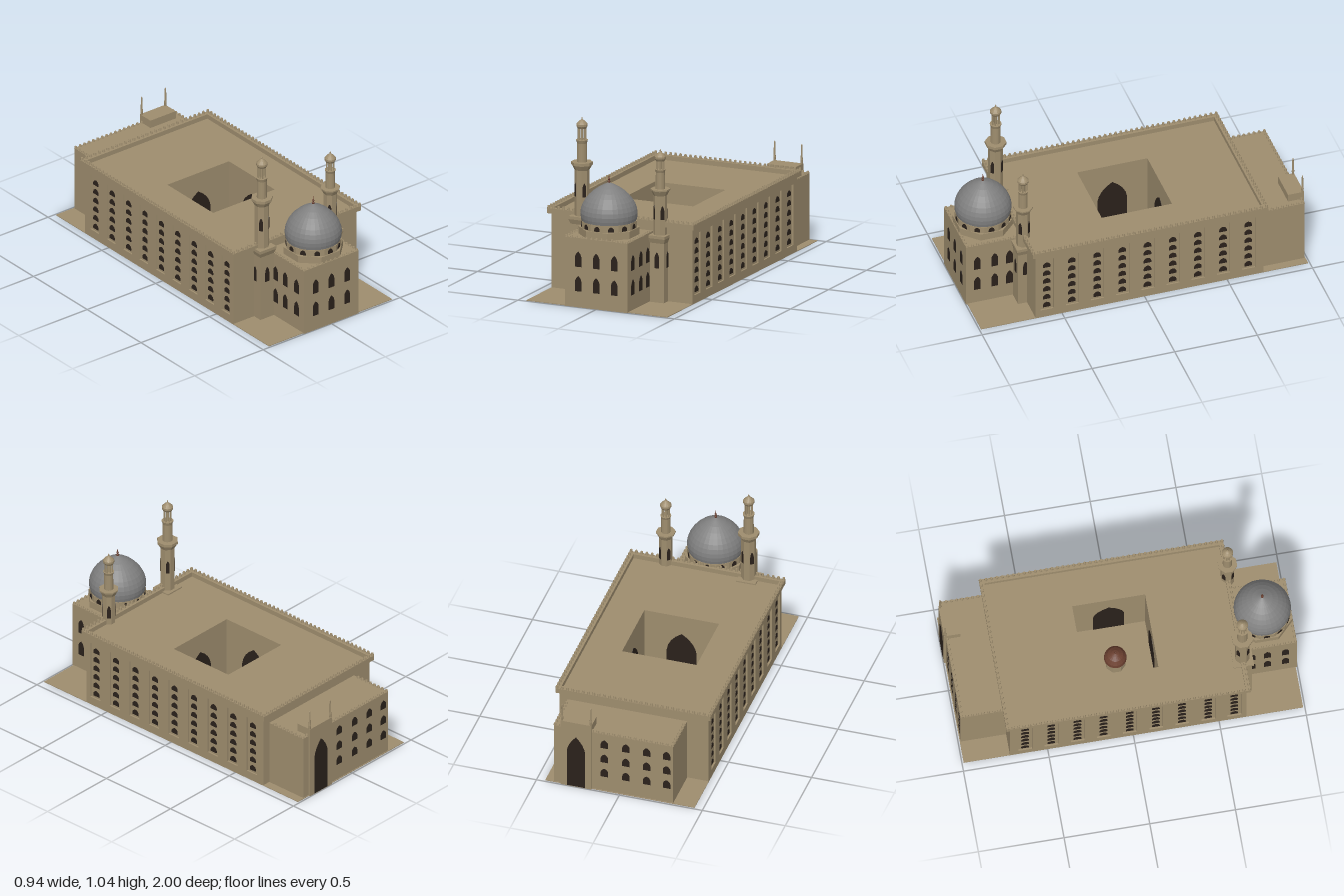
import * as THREE from 'three';
import { mergeGeometries } from 'three/addons/utils/BufferGeometryUtils.js';

const mat = (color, flatShading = true) => new THREE.MeshStandardMaterial({ color, flatShading });
const stone = mat(0x9e8d6e), lead = mat(0x808080), dark = mat(0x2a211b), copper = mat(0x6b4030);

export function createModel() {
  const root = new THREE.Group();

  const add = (name, geo, material = stone, parent = root) => {
    const m = new THREE.Mesh(geo, material);
    m.name = name;
    parent.add(m);
    return m;
  };
  // box given by its limits
  const box = (x0, x1, y0, y1, z0, z1) =>
    new THREE.BoxGeometry(x1 - x0, y1 - y0, z1 - z0).translate((x0 + x1) / 2, (y0 + y1) / 2, (z0 + z1) / 2);
  // upright prism with a flat face forward, sized by distance from axis to face
  const prism = (n, bottom, top, y0, y1, x = 0, z = 0) => {
    const k = 1 / Math.cos(Math.PI / n);
    return new THREE.CylinderGeometry(top * k, bottom * k, y1 - y0, n)
      .rotateY(Math.PI / n).translate(x, (y0 + y1) / 2, z);
  };
  const lathe = (pts, seg, x, z) =>
    new THREE.LatheGeometry(pts.map(p => new THREE.Vector2(...p)), seg).translate(x, 0, z);
  const rect = (P, x0, y0, x1, y1) => {
    const p = new P();
    p.moveTo(x0, y0); p.lineTo(x1, y0); p.lineTo(x1, y1); p.lineTo(x0, y1); p.closePath();
    return p;
  };
  // pointed arch panel standing on y, facing the direction a (0 = front)
  const arch = (w, h, x, y, z, a = 0, spring = 0.62) => {
    const s = new THREE.Shape(), r = w / 2;
    s.moveTo(-r, 0); s.lineTo(r, 0); s.lineTo(r, h * spring);
    s.quadraticCurveTo(r * 0.9, h * 0.85, 0, h);
    s.quadraticCurveTo(-r * 0.9, h * 0.85, -r, h * spring);
    s.closePath();
    return new THREE.ExtrudeGeometry(s, { depth: 0.004, bevelEnabled: false, curveSegments: 4 })
      .translate(0, 0, -0.002).rotateY(a).translate(x, y, z);
  };
  // row of small crenellations from one plan point to another
  const merlons = (list, x0, z0, x1, z1, y, step = 0.032, h = 0.018) => {
    const n = Math.round(Math.hypot(x1 - x0, z1 - z0) / step);
    for (let i = 0; i <= n; i++) {
      const t = i / n;
      list.push(prism(6, 0.009, 0.006, y, y + h, x0 + (x1 - x0) * t, z0 + (z1 - z0) * t));
    }
  };
  const ringMerlons = (x0, x1, z0, z1, y) => {
    const l = [];
    merlons(l, x0, z0, x1, z0, y); merlons(l, x0, z1, x1, z1, y);
    merlons(l, x0, z0, x0, z1, y); merlons(l, x1, z0, x1, z1, y);
    return mergeGeometries(l);
  };
  // rectangular slab with a rectangular opening, between two heights
  const frame = (o, i, y0, y1) => {
    const s = rect(THREE.Shape, o[0], -o[3], o[1], -o[2]);
    s.holes.push(rect(THREE.Path, i[0], -i[3], i[1], -i[2]));
    return new THREE.ExtrudeGeometry(s, { depth: y1 - y0, bevelEnabled: false })
      .rotateX(-Math.PI / 2).translate(0, y0, 0);
  };

  add('groundSlab', box(-0.45, 0.45, 0, 0.004, -0.99, 0.99));

  // main hall around an open courtyard
  const court = [-0.225, 0.225, -0.24, 0.185];
  add('hall', frame([-0.44, 0.44, -0.72, 0.66], court, 0, 0.45));
  add('hallParapet', frame([-0.467, 0.467, -0.742, 0.682], [-0.44, 0.44, -0.715, 0.655], 0.447, 0.478));
  add('hallMerlons', ringMerlons(-0.46, 0.46, -0.735, 0.675, 0.476));
  const iwans = [
    arch(0.18, 0.325, 0, 0.004, court[2], 0), arch(0.18, 0.325, 0, 0.004, court[3], Math.PI),
    arch(0.18, 0.325, court[0], 0.004, -0.0275, Math.PI / 2),
    arch(0.18, 0.325, court[1], 0.004, -0.0275, -Math.PI / 2)];
  add('courtyardArches', mergeGeometries(iwans), dark);

  // side walls with sunken panels of small windows
  const bays = Array.from({ length: 9 }, (_, i) => 0.59 - i * 0.1525);
  for (const s of [1, -1]) {
    const wall = rect(THREE.Shape, s > 0 ? -0.66 : -0.72, 0, s > 0 ? 0.72 : 0.66, 0.45);
    const wins = [];
    for (const z of bays) {
      const u = -s * z;
      wall.holes.push(rect(THREE.Path, u - 0.04, 0.05, u + 0.04, 0.41));
      for (let r = 0; r < 6; r++) wins.push(arch(0.045, 0.034, s * 0.441, 0.063 + r * 0.057, z, s * Math.PI / 2, 0.4));
    }
    const geo = new THREE.ExtrudeGeometry(wall, { depth: 0.01, bevelEnabled: false });
    add('sideWall', geo.rotateY(s * Math.PI / 2).translate(s * 0.44, 0, 0));
    add('sideWindows', mergeGeometries(wins), dark);
  }

  // domed fountain in the courtyard
  add('fountainBase', prism(8, 0.055, 0.055, 0, 0.1, 0, -0.0275));
  add('fountainDome', lathe([[0.066, 0.1], [0.062, 0.125], [0.045, 0.15], [0.022, 0.166], [0.004, 0.172], [0.003, 0.19], [0, 0.192]], 20, 0, -0.0275), copper);

  // domed front chamber
  const cz = 0.83;
  add('frontChamber', box(-0.2, 0.2, 0, 0.412, 0.64, 0.998));
  add('chamberMerlons', (() => {
    const l = [];
    merlons(l, -0.193, 0.99, 0.193, 0.99, 0.41, 0.032, 0.012);
    for (const x of [-0.193, 0.193]) merlons(l, x, 0.7, x, 0.99, 0.41, 0.032, 0.012);
    return mergeGeometries(l);
  })());
  const chamberWins = [];
  for (const y of [0.095, 0.24]) {
    for (const x of [-0.115, 0, 0.115]) chamberWins.push(arch(0.04, 0.09, x, y, 0.998));
    for (const z of [0.735, 0.825, 0.93])
      for (const s of [1, -1]) chamberWins.push(arch(0.04, 0.09, s * 0.2, y, z, s * Math.PI / 2));
  }
  add('chamberWindows', mergeGeometries(chamberWins), dark);
  add('drumBase', prism(8, 0.163, 0.163, 0.41, 0.455, 0, cz));
  add('drum', prism(12, 0.158, 0.158, 0.455, 0.496, 0, cz));
  const drumWins = [];
  for (let i = 0; i < 12; i++) {
    const a = i * Math.PI / 6;
    drumWins.push(arch(0.034, 0.03, 0.158 * Math.sin(a), 0.458, cz + 0.158 * Math.cos(a), a, 0.4));
  }
  add('drumWindows', mergeGeometries(drumWins), dark);
  add('dome', lathe([[0, 0.494], [0.158, 0.494], [0.163, 0.515], [0.165, 0.54], [0.161, 0.565], [0.152, 0.59],
    [0.138, 0.615], [0.118, 0.64], [0.092, 0.665], [0.06, 0.688], [0.028, 0.705], [0.006, 0.715], [0, 0.717]], 32, 0, cz), lead);
  add('domeFinial', lathe([[0.006, 0.71], [0.008, 0.722], [0.004, 0.729], [0.007, 0.737], [0.003, 0.744], [0, 0.765]], 10, 0, cz), copper);

  // minarets: square base, octagonal shaft, round stage, open lantern and cap
  const minaret = (x, k, y) => {
    const g = new THREE.Group(), z = 0.67, wins = [];
    g.name = 'minaret';
    root.add(g);
    const w = 0.049 * k, o = 0.04 * k;
    add('base', prism(4, w, w, 0, y.base, x, z), stone, g);
    add('baseCornice', mergeGeometries([prism(4, w, 0.059 * k, y.base, y.base + 0.028, x, z),
      prism(4, 0.059 * k, 0.059 * k, y.base + 0.028, y.shaft, x, z)]), stone, g);
    add('shaft', prism(8, o, o, y.shaft, y.flare, x, z), stone, g);
    add('balcony', mergeGeometries([prism(8, o, 0.055 * k, y.flare, y.flare + 0.03, x, z),
      prism(8, 0.058 * k, 0.058 * k, y.flare + 0.03, y.round, x, z)]), stone, g);
    add('roundStage', prism(16, 0.029 * k, 0.028 * k, y.round, y.ring, x, z), stone, g);
    add('lanternFloor', prism(16, 0.028 * k, 0.034 * k, y.ring, y.lantern, x, z), stone, g);
    const cols = [prism(8, 0.008, 0.008, y.lantern, y.cap, x, z)];
    for (let i = 0; i < 8; i++) {
      const a = i * Math.PI / 4 + Math.PI / 8;
      cols.push(prism(6, 0.0035, 0.0035, y.lantern, y.cap, x + 0.021 * Math.sin(a), z + 0.021 * Math.cos(a)));
    }
    add('lanternColumns', mergeGeometries(cols), stone, g);
    const c = y.cap;
    add('cap', lathe([[0, c], [0.025, c], [0.033, c + 0.014], [0.033, c + 0.026], [0.027, c + 0.034], [0.017, c + 0.044],
      [0.005, c + 0.053], [0.003, c + 0.058], [0.004, c + 0.062], [0, c + 0.07]], 16, x, z), stone, g);
    for (let i = 0; i < 4; i++) {
      const a = i * Math.PI / 2, b = a + Math.PI / 4;
      wins.push(arch(0.028, 0.095, x + w * Math.sin(a), y.win, z + w * Math.cos(a), a));
      wins.push(arch(0.022, 0.082, x + o * Math.sin(b), y.win2, z + o * Math.cos(b), b));
    }
    add('windows', mergeGeometries(wins), dark, g);
  };
  minaret(-0.25, 1, { base: 0.412, shaft: 0.458, flare: 0.728, round: 0.775, ring: 0.885, lantern: 0.905, cap: 0.972, win: 0.242, win2: 0.572 });
  minaret(0.25, 0.92, { base: 0.355, shaft: 0.4, flare: 0.632, round: 0.67, ring: 0.768, lantern: 0.785, cap: 0.835, win: 0.207, win2: 0.492 });

  // rear wing with its entrance portal
  add('rearWing', box(-0.32, 0.4, 0, 0.4, -0.985, -0.7));
  const wingMerlons = [];
  merlons(wingMerlons, -0.314, -0.978, 0.394, -0.978, 0.398, 0.032, 0.014);
  for (const x of [-0.314, 0.394]) merlons(wingMerlons, x, -0.978, x, -0.76, 0.398, 0.032, 0.014);
  add('wingMerlons', mergeGeometries(wingMerlons));
  const wingWins = [];
  for (const x of [0.095, -0.035, -0.16, -0.28])
    for (const y of [0.1, 0.2, 0.3]) wingWins.push(arch(0.045, 0.055, x, y, -0.985, Math.PI, 0.5));
  add('wingWindows', mergeGeometries(wingWins), dark);
  add('portal', box(0.17, 0.355, 0, 0.448, -0.997, -0.9));
  add('portalDoor', arch(0.11, 0.345, 0.2625, 0.004, -0.997, Math.PI, 0.7), dark);
  for (const x of [0.176, 0.349])
    add('portalSpire', lathe([[0.006, 0.44], [0.008, 0.47], [0.006, 0.485], [0.005, 0.54], [0.004, 0.56], [0, 0.566]], 8, x, -0.989));

  return root;
}
